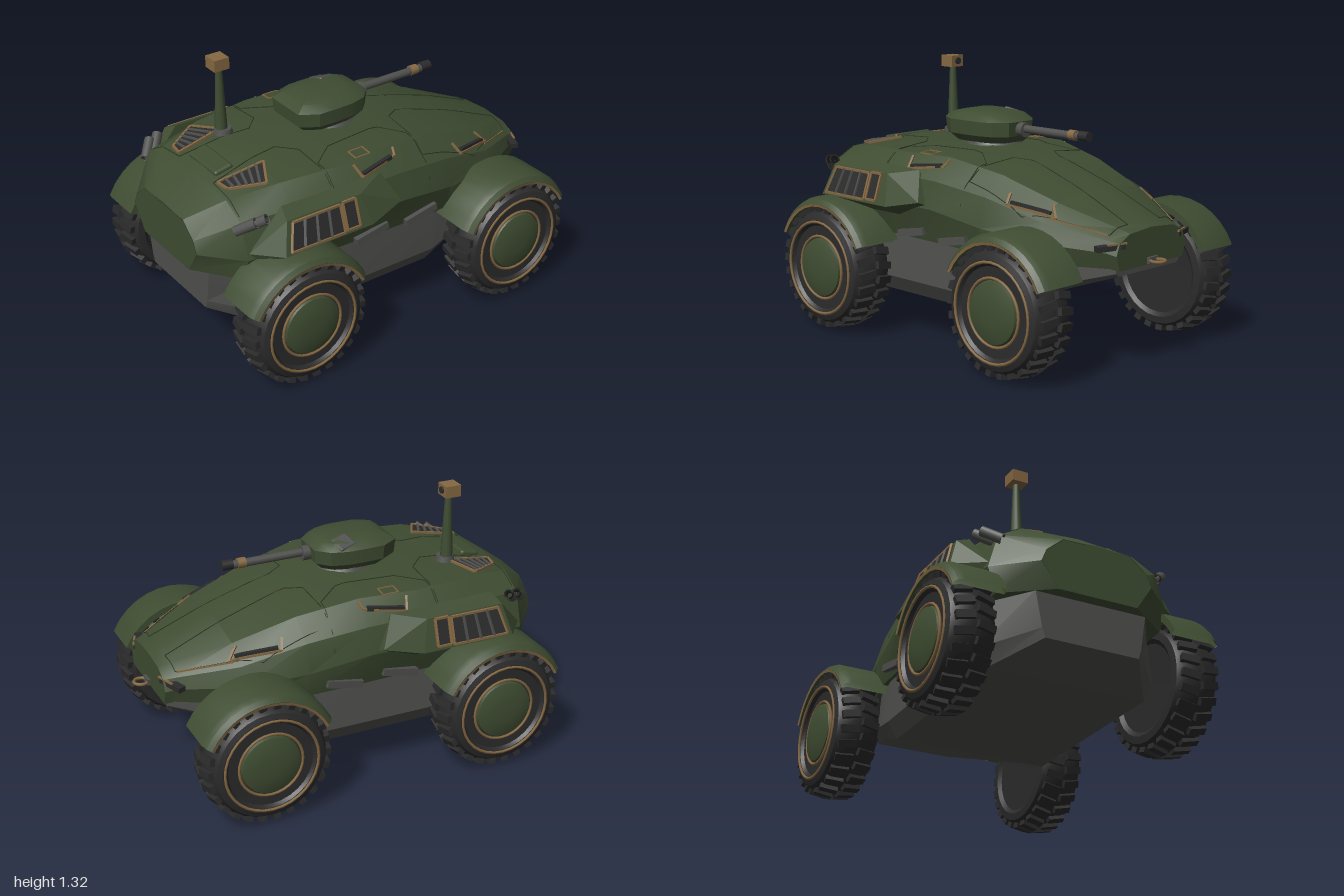
import * as THREE from 'three';
import { mergeGeometries, toCreasedNormals } from 'three/addons/utils/BufferGeometryUtils.js';
import { ConvexGeometry } from 'three/addons/geometries/ConvexGeometry.js';
import { RoundedBoxGeometry } from 'three/addons/geometries/RoundedBoxGeometry.js';

const V = (x, y, z) => new THREE.Vector3(x, y, z);
const material = (name, color) => Object.assign(new THREE.MeshStandardMaterial({ color }), { name, side: THREE.DoubleSide });
const green = material('olive paint', 0x3f4d32);
const seam = material('panel seam', 0x28341f);
const grey = material('grey metal', 0x4f4f4d);
const black = material('tyre rubber', 0x2b2b2c);
const tan = material('tan trim', 0x856842);

function add(parent, name, geometry, mat, x = 0, y = 0, z = 0) {
  const m = new THREE.Mesh(geometry, mat);
  m.name = name;
  m.position.set(x, y, z);
  parent.add(m);
  return m;
}

// Skin over a row of equal closed rings, capped at both ends and facing outward
function loft(rings, crease) {
  const n = rings[0].length, tris = [];
  const mid = r => r.reduce((s, p) => s.add(p), V(0, 0, 0)).divideScalar(n);
  const first = rings[0], last = rings[rings.length - 1], c0 = mid(first), c1 = mid(last);
  for (let j = 0; j < n; j++) {
    const k = (j + 1) % n;
    for (let i = 0; i < rings.length - 1; i++) {
      const a = rings[i], b = rings[i + 1];
      tris.push([a[j], a[k], b[k]], [a[j], b[k], b[j]]);
    }
    tris.push([c0, first[k], first[j]], [c1, last[j], last[k]]);
  }
  const volume = tris.reduce((s, [a, b, c]) => s + a.dot(V(0, 0, 0).crossVectors(b, c)), 0);
  const pts = tris.flatMap(([a, b, c]) => (volume < 0 ? [a, c, b] : [a, b, c]));
  const g = new THREE.BufferGeometry().setFromPoints(pts);
  return toCreasedNormals(g, crease);
}

// Box running from a to b
function barGeo(a, b, w, h = w) {
  const m = new THREE.Matrix4().lookAt(a, b, V(0, 1, 0)).setPosition(a.clone().lerp(b, 0.5));
  return new THREE.BoxGeometry(w, h, a.distanceTo(b)).applyMatrix4(m);
}
function lines(parent, name, pts, w, mat, closed = false) {
  const parts = pts.slice(1).map((p, i) => barGeo(pts[i], p, w));
  if (closed) parts.push(barGeo(pts[pts.length - 1], pts[0], w));
  return add(parent, name, mergeGeometries(parts), mat);
}
// Tan-framed dark grille over four corners
function grille(parent, name, [a, b, c, d], slats) {
  const plate = new THREE.BufferGeometry().setFromPoints([a, b, c, a, c, d]);
  plate.computeVertexNormals();
  add(parent, name + 'Plate', plate, black);
  lines(parent, name + 'Frame', [a, b, c, d], 0.011, tan, true);
  const bars = [];
  for (let i = 1; i <= slats; i++) {
    const t = i / (slats + 1);
    bars.push(barGeo(a.clone().lerp(b, t), d.clone().lerp(c, t), 0.012));
  }
  if (slats) add(parent, name + 'Slats', mergeGeometries(bars), grey);
}

// Upper hull half sections: z, then [x, y] from sill to roof centre
const sections = [
  [1.0, [.20, .51], [.28, .63], [.255, .69], [.17, .76], [0, .77]],
  [.84, [.42, .51], [.46, .63], [.41, .80], [.29, .865], [0, .885]],
  [.6, [.44, .51], [.50, .66], [.46, .82], [.36, .905], [0, .935]],
  [.3, [.45, .51], [.51, .68], [.49, .82], [.40, .91], [0, .945]],
  [0, [.46, .51], [.515, .68], [.48, .81], [.38, .915], [0, .95]],
  [-.3, [.455, .505], [.48, .63], [.445, .77], [.33, .86], [0, .897]],
  [-.6, [.39, .50], [.42, .60], [.385, .69], [.28, .765], [0, .805]],
  [-.87, [.23, .495], [.255, .57], [.24, .625], [.17, .67], [0, .692]],
  [-.92, [.22, .49], [.24, .56], [.22, .615], [.15, .65], [0, .662]],
];
function ring(z, half) {
  const right = half.map(([x, y]) => V(x, y, z));
  return [...right, ...half.filter(p => p[0] > 0).reverse().map(([x, y]) => V(-x, y, z))];
}
// Point lying just above the hull surface
function onDeck(x, z, lift = 0.002) {
  let i = 0;
  while (i < sections.length - 2 && z < sections[i + 1][0]) i++;
  const [za, ...a] = sections[i], [zb, ...b] = sections[i + 1], t = (z - za) / (zb - za);
  const p = a.map((q, k) => [q[0] + (b[k][0] - q[0]) * t, q[1] + (b[k][1] - q[1]) * t]);
  const ax = Math.min(Math.abs(x), p[1][0]);
  let k = 1;
  while (k < 3 && ax < p[k + 1][0]) k++;
  const u = (ax - p[k][0]) / (p[k + 1][0] - p[k][0]);
  return V(Math.sign(x) * ax, p[k][1] + (p[k + 1][1] - p[k][1]) * u + lift, z);
}
function drape(parent, name, path, w, mat) {
  const pts = [];
  path.forEach(([x, z], i) => {
    if (i) for (let k = 1; k <= 6; k++) {
      const [px, pz] = path[i - 1];
      pts.push(onDeck(px + (x - px) * k / 6, pz + (z - pz) * k / 6));
    } else pts.push(onDeck(x, z));
  });
  lines(parent, name, pts, w, mat);
}

// Spin a radius/width profile around the x axis
const spin = (profile, start = 0, length = Math.PI * 2, seg = 28) => toCreasedNormals(
  new THREE.LatheGeometry(profile.map(([r, w]) => new THREE.Vector2(r, w)), seg, start, length).rotateZ(-Math.PI / 2), 0.5);

function makeWheel(s, z) {
  const wheel = new THREE.Group();
  wheel.name = 'wheel';
  wheel.position.set(s * 0.565, 0.32, z);
  if (s < 0) wheel.rotation.y = Math.PI;
  add(wheel, 'tyre', spin([[0, -.09], [.21, -.095], [.23, -.11], [.265, -.105], [.287, -.07], [.296, 0], [.287, .07], [.265, .105], [.24, .115], [.222, .11], [.21, .095], [0, .09]]), black);
  const lugs = [];
  for (let i = 0; i < 52; i++) {
    const side = i % 2 ? 1 : -1;
    lugs.push(new THREE.BoxGeometry(0.088, 0.026, 0.036).rotateY(side * 0.15).rotateZ(side * -0.17)
      .translate(side * 0.05, 0.296, 0).rotateX(i / 52 * Math.PI * 2));
  }
  add(wheel, 'tread', mergeGeometries(lugs), black);
  add(wheel, 'hubCap', spin([[.148, .09], [.142, .108], [.1, .122], [.05, .127], [0, .128]]), green);
  for (const [r, x] of [[.23, .114], [.157, .1]])
    add(wheel, 'rimRing', new THREE.TorusGeometry(r, 0.007, 6, 32).rotateY(Math.PI / 2), tan, x);
  // Mudguard arched over the tyre
  const a = 0.46, arc = Math.PI - 2 * a;
  add(wheel, 'fender', spin([[.32, -.14], [.352, -.14], [.352, .06], [.34, .09], [.318, .108], [.305, .106], [.32, .07], [.32, -.14]], Math.PI + a, arc, 12), green);
  add(wheel, 'fenderTrim', spin([[.305, .108], [.318, .111]], Math.PI + a, arc, 12), tan);
  return wheel;
}

export function createModel() {
  const model = new THREE.Group();
  model.name = 'armouredCar';
  add(model, 'upperHull', loft(sections.map(([z, ...p]) => ring(z, p)), 0.45), green);

  // Grey belly tub
  const tub = [
    [.94, [.235, .295], [.25, .34], [.28, .515]], [.72, [.40, .21], [.45, .29], [.43, .515]],
    [-.22, [.40, .21], [.45, .29], [.44, .51]], [-.4, [.37, .285], [.42, .33], [.41, .505]],
    [-.9, [.20, .46], [.22, .475], [.22, .495]],
  ];
  add(model, 'lowerHull', loft(tub.map(([z, ...p]) => ring(z, p)), 0.2), grey);

  // Rear plate outline
  const octagon = [[.2, .515], [.28, .63], [.255, .69], [.17, .76]];
  lines(model, 'rearPlateSeam', ring(0.9985, octagon), 0.003, seam, true);
  const hatch = add(model, 'deckHatch', new RoundedBoxGeometry(0.24, 0.03, 0.1, 2, 0.014), green, 0, 0.902, 0.74);
  hatch.rotation.x = 0.2;

  for (const s of [1, -1]) {
    const side = path => path.map(([x, z]) => [s * x, z]);
    for (const z of [0.64, -0.575]) model.add(makeWheel(s, z));

    // Side sponson with framed intake
    const sponson = [[.535, .82, .68], [.535, .82, .28], [.585, .67, .72], [.585, .67, .24], [.545, .71, .05], [.46, .855, .66],
      [.47, .85, .12], [.45, .66, .83], [.45, .60, .8], [.45, .60, .25], [.47, .68, .03]];
    add(model, 'sponson', new ConvexGeometry(sponson.map(([x, y, z]) => V(s * x, y, z))), green);
    const onSide = (y, z) => V(s * (0.541 + (0.82 - y) / 3), y, z);
    grille(model, 'sideIntake', [onSide(.81, .655), onSide(.81, .40), onSide(.685, .40), onSide(.685, .69)], 3);
    grille(model, 'sideVent', [onSide(.815, .385), onSide(.815, .315), onSide(.69, .315), onSide(.69, .385)], 0);

    // Deck vents and side hatches
    grille(model, 'deckVent', side([[.19, .575], [.17, .81], [.24, .80], [.33, .65]]).map(([x, z]) => onDeck(x, z, 0.01)), 5);
    drape(model, 'frontHatchTrim', side([[.30, -.59], [.335, -.64], [.415, -.41], [.37, -.39]]), 0.011, tan);
    drape(model, 'frontHatchGap', side([[.335, -.61], [.40, -.42]]), 0.02, black);
    drape(model, 'nosePanelTrim', side([[.225, -.855], [.35, -.62]]), 0.007, tan);
    drape(model, 'sideHatchTrim', side([[.39, -.01], [.42, 0], [.46, .21], [.41, .23]]), 0.011, tan);
    drape(model, 'sideHatchGap', side([[.42, .02], [.45, .2]]), 0.02, black);
    drape(model, 'smallHatch', side([[.33, .12], [.39, .12], [.39, .2], [.33, .2], [.33, .12]]), 0.005, tan);

    // Panel seams
    const seams = [
      [[.22, -.86], [.11, -.87], [.09, -.26], [.14, -.18], [.42, -.17], [.41, -.5], [.22, -.86]],
      [[.48, -.17], [.30, -.16], [.22, -.05], [.24, .25], [.33, .37], [.48, .37]],
      [[.45, .38], [.19, .38], [.11, .46], [.15, .82], [.38, .83]],
    ];
    for (const path of seams) drape(model, 'panelSeam', side(path), 0.003, seam);

    // Twin launcher tubes, pointing out and up
    for (const d of [0, 1]) {
      const from = V(s * (.40 + d * .012), .768 + d * .008, .865 - d * .05);
      const to = from.clone().add(V(s * .07, .055, -.065));
      add(model, 'launcherTube', new THREE.TubeGeometry(new THREE.LineCurve3(from, to), 1, 0.025, 10), grey);
      add(model, 'launcherCore', new THREE.TubeGeometry(new THREE.LineCurve3(from, to), 1, 0.017, 10), black);
    }

    // Side steps
    for (const [za, zb] of [[.26, .08], [-.03, -.21]])
      add(model, 'sideStep', barGeo(V(s * .475, .525, za), V(s * .475, .56, zb), 0.035), grey);

    // Nose lamps
    add(model, 'noseLamp', barGeo(V(s * .18, .60, -.91), V(s * .31, .595, -.86), 0.04, 0.025), black);
    add(model, 'noseLampTrim', barGeo(V(s * .18, .615, -.928), V(s * .27, .612, -.893), 0.01, 0.008), tan);
  }

  // Tow ring
  add(model, 'towRing', new THREE.TorusGeometry(0.034, 0.008, 6, 16).rotateX(Math.PI / 2), tan, 0, 0.51, -0.958);
  add(model, 'towBracket', new THREE.BoxGeometry(0.06, 0.03, 0.03), grey, 0, 0.51, -0.92);

  // Turret built from stacked outlines
  const outline = [[.08, -.09], [.14, -.03], [.162, .05], [.165, .15], [.162, .24], [.11, .325]];
  const loop = [...outline, ...outline.map(([x, z]) => [-x, z]).reverse()];
  const layers = [[.95, .78], [.985, .97], [1.055, 1], [1.085, .8], [1.098, .55], [1.103, .3]];
  add(model, 'turret', loft(layers.map(([y, k]) => loop.map(([x, z]) => V(x * k, y, .11 + (z - .11) * k))), 0.5), green);
  add(model, 'turretRing', new THREE.CylinderGeometry(0.125, 0.14, 0.025, 24), grey, 0, 0.947, 0.09);
  const sight = add(model, 'turretSight', new RoundedBoxGeometry(0.09, 0.04, 0.09, 2, 0.01), grey, -0.1, 1.072, 0.05);
  sight.rotation.set(-0.2, 0.2, 0.35);

  // Gun: radius, near z, far z
  for (const [name, r, a, b, mat] of [['gunMantlet', .036, -.04, -.125, grey], ['gunBarrel', .02, -.1, -.5, grey],
    ['gunCollar', .025, -.415, -.455, tan], ['gunMuzzle', .024, -.48, -.535, black]])
    add(model, name, new THREE.CylinderGeometry(r, r, a - b, 14).rotateX(Math.PI / 2), mat, 0, 1.015 + (a + b) * -0.012, (a + b) / 2);

  // Sensor mast
  add(model, 'mastFoot', new THREE.CylinderGeometry(0.042, 0.048, 0.025, 16), grey, -0.165, 0.935, 0.57);
  add(model, 'mast', new THREE.CylinderGeometry(0.016, 0.031, 0.34, 12), green, -0.172, 1.1, 0.575);
  add(model, 'sensorHead', new THREE.BoxGeometry(0.08, 0.058, 0.08), tan, -0.172, 1.29, 0.58);
  add(model, 'sensorLens', new THREE.CylinderGeometry(0.017, 0.017, 0.012, 14).rotateX(Math.PI / 2), black, -0.172, 1.292, 0.537);
  return model;
}
